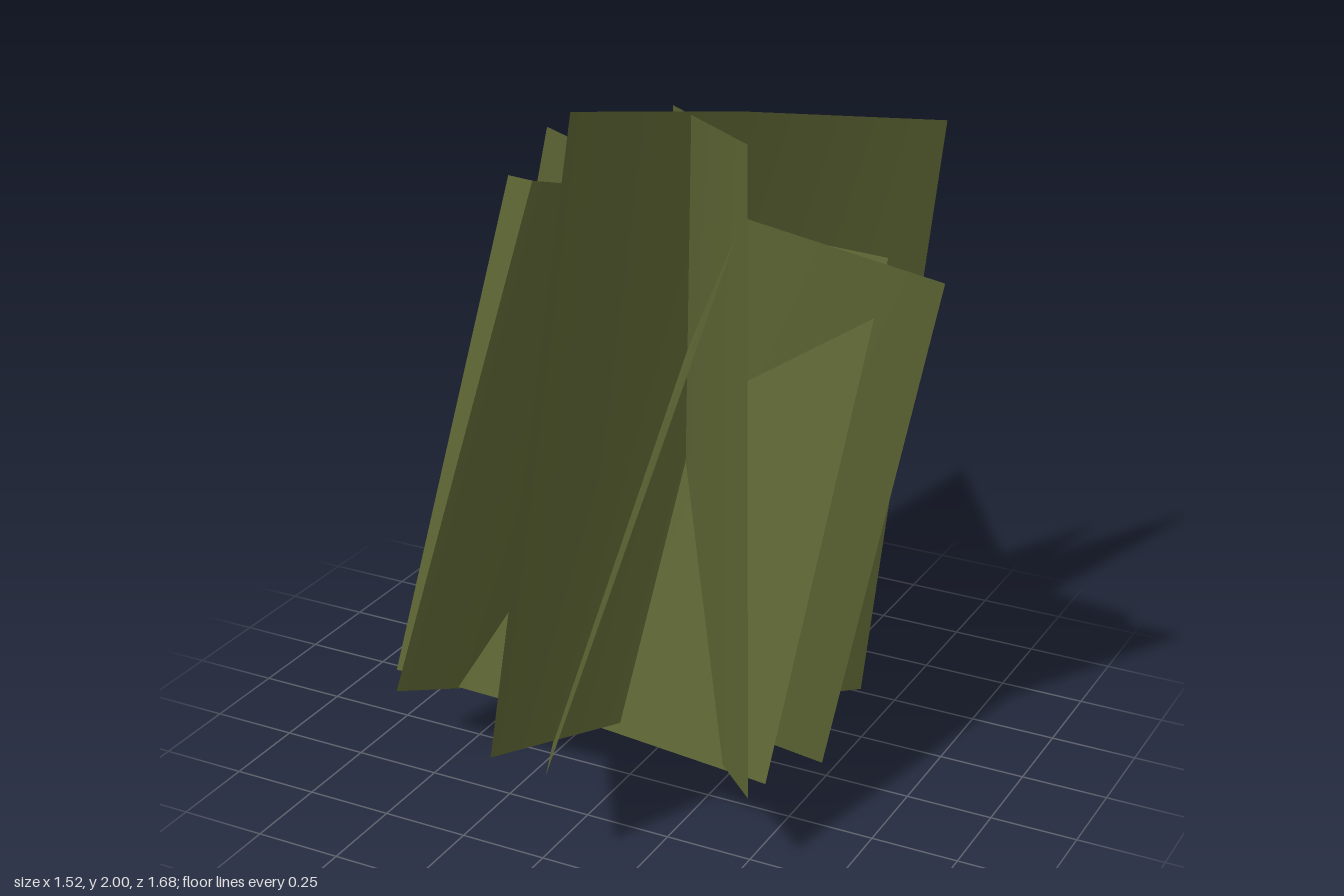
import * as THREE from 'three';

// One leaf card: a sheet folded softly along its middle, swept from its top edge to its foot.
function leafCard(top, sweep, material) {
  const foot = top.map((p) => p.map((v, i) => v + sweep[i]));
  const geometry = new THREE.BufferGeometry();
  geometry.setAttribute('position', new THREE.Float32BufferAttribute([...top, ...foot].flat(), 3));
  const index = [];
  for (let i = 0; i < 2; i++) index.push(i, i + 3, i + 1, i + 1, i + 3, i + 4);
  geometry.setIndex(index);
  geometry.computeVertexNormals();
  return new THREE.Mesh(geometry, material);
}

export function createModel() {
  const group = new THREE.Group();
  group.name = 'grassClump';
  const olive = new THREE.MeshStandardMaterial({ color: 0x5a6232, side: THREE.DoubleSide });
  olive.name = 'olive green';

  // Top edge (end, fold, end) and the vector from top to foot
  const cards = [
    // tall crossing cards
    { name: 'tallCardFrontBack', top: [[-0.05, 2.0, 0.45], [0.11, 1.855, -0.2], [0.46, 1.71, -0.84]], sweep: [-0.05, -1.67, 0.39] },
    { name: 'tallCardSideways', top: [[-0.46, 1.75, -0.14], [0.15, 1.63, -0.02], [0.76, 1.5, -0.1]], sweep: [-0.3, -1.5, 0.04] },
    { name: 'tallCardDiagonal', top: [[-0.39, 1.77, -0.77], [-0.065, 1.865, -0.14], [0.41, 1.96, 0.38]], sweep: [0.12, -1.72, 0.2] },
    // leaning cards
    { name: 'leaningCardSideways', top: [[-0.59, 1.59, -0.14], [0, 1.52, -0.225], [0.58, 1.53, -0.14]], sweep: [-0.07, -1.33, 0.57] },
    { name: 'leaningCardDiagonal', top: [[-0.33, 1.57, -0.69], [0.11, 1.63, -0.215], [0.38, 1.74, 0.35]], sweep: [-0.33, -1.44, 0.46] },
    { name: 'leaningCardFrontBack', top: [[-0.2, 1.78, 0.39], [0.115, 1.63, -0.145], [0.25, 1.52, -0.76]], sweep: [-0.37, -1.5, 0.18] },
  ];
  for (const { name, top, sweep } of cards) {
    const card = leafCard(top, sweep, olive);
    card.name = name;
    group.add(card);
  }
  return group;
}
